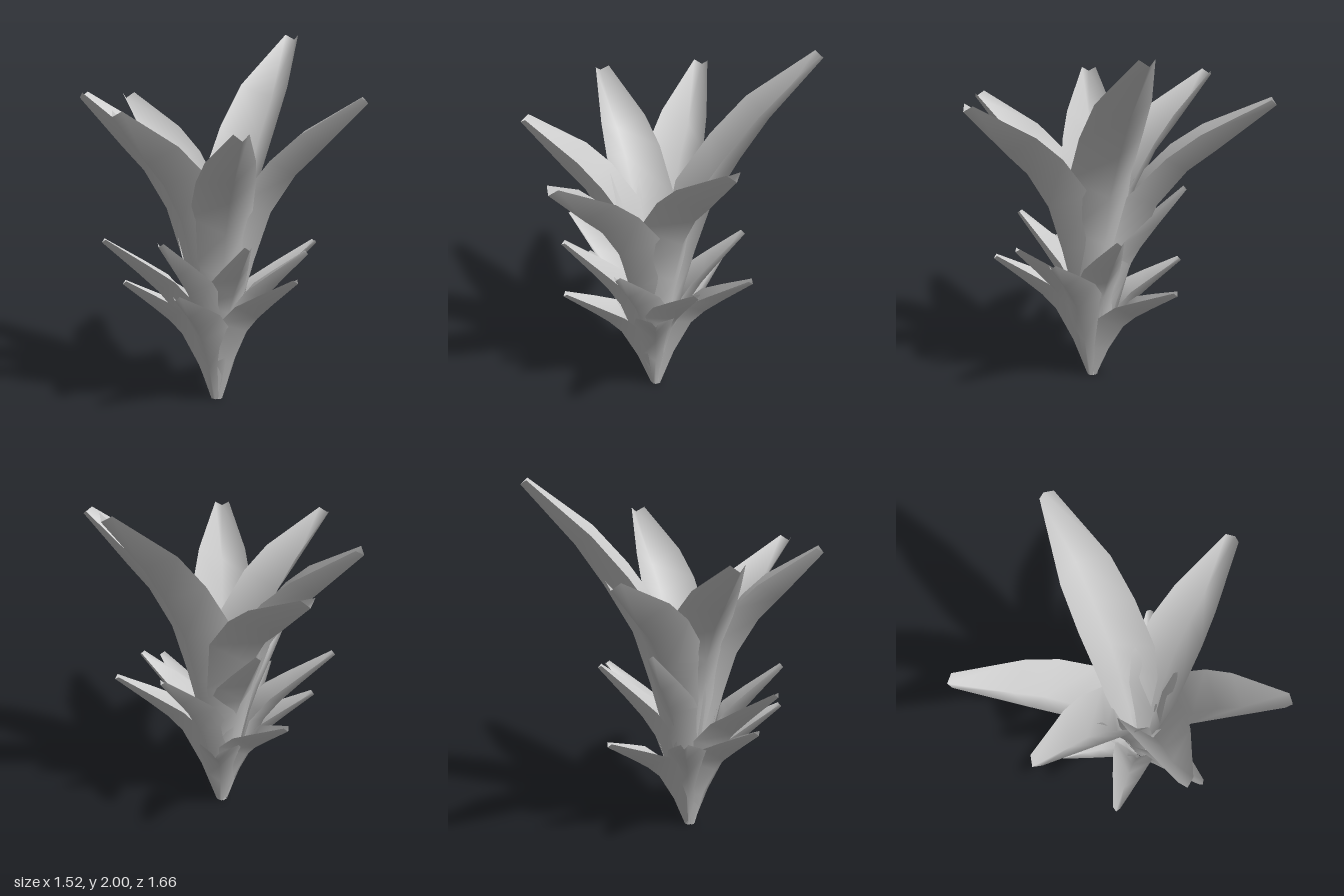
import * as THREE from 'three';

const material = new THREE.MeshStandardMaterial({ color: 0xcccccc, side: THREE.DoubleSide });
const base = new THREE.Vector3(-0.02, 0, 0.04);

// Rows along a leaf: share of reach, share of height, half width, channel depth
const largeRows = [
  [0.03, 0.0, 0.02, 0.01],
  [0.14, 0.28, 0.09, 0.06],
  [0.255, 0.48, 0.15, 0.13],
  [0.365, 0.64, 0.172, 0.175],
  [0.53, 0.765, 0.16, 0.15],
  [0.69, 0.842, 0.132, 0.14],
  [1.0, 1.0, 0.04, 0.045],
];
const tallRows = [
  [0.03, 0.0, 0.02, 0.01],
  [0.14, 0.25, 0.1, 0.07],
  [0.25, 0.44, 0.16, 0.15],
  [0.35, 0.585, 0.178, 0.185],
  [0.52, 0.72, 0.175, 0.155],
  [0.69, 0.835, 0.152, 0.12],
  [1.0, 1.0, 0.042, 0.045],
];
const smallRows = [
  [0.05, 0.0, 0.015, 0.005],
  [0.2, 0.3, 0.075, 0.05],
  [0.38, 0.57, 0.122, 0.11],
  [0.52, 0.69, 0.108, 0.1],
  [0.7, 0.81, 0.076, 0.07],
  [1.0, 1.0, 0.02, 0.025],
];

// A channelled leaf whose midrib runs from the base to the given tip
function makeLeaf(name, [x, y, z], rows) {
  const dx = x - base.x, dz = z - base.z;
  const reach = Math.hypot(dx, dz);
  const out = new THREE.Vector3(dx / reach, 0, dz / reach);
  const side = new THREE.Vector3(-out.z, 0, out.x);
  const up = new THREE.Vector3(0, 1, 0);
  const positions = [], index = [];

  rows.forEach(([r, h, w, d], i) => {
    // The leaf's inner normal, square to the midrib
    const a = rows[Math.max(i - 1, 0)], b = rows[Math.min(i + 1, rows.length - 1)];
    const dr = (b[0] - a[0]) * reach, dh = (b[1] - a[1]) * y;
    const len = Math.hypot(dr, dh);
    for (const s of [-1, 0, 1]) {
      const lift = Math.abs(s) * d;
      const p = base.clone()
        .addScaledVector(out, r * reach - lift * dh / len)
        .addScaledVector(up, h * y + lift * dr / len)
        .addScaledVector(side, s * w);
      positions.push(p.x, p.y, p.z);
    }
    if (i === 0) return;
    for (let j = 0; j < 2; j++) {
      const k = (i - 1) * 3 + j;
      index.push(k, k + 3, k + 1, k + 1, k + 3, k + 4);
    }
  });

  const geometry = new THREE.BufferGeometry();
  geometry.setAttribute('position', new THREE.Float32BufferAttribute(positions, 3));
  geometry.setIndex(index);
  geometry.computeVertexNormals();
  const mesh = new THREE.Mesh(geometry, material);
  mesh.name = name;
  return mesh;
}

// Leaf tips of each ring, with the leaf shape of the ring
const rings = [
  { name: 'crownLeaf', rows: largeRows, tips: [
    [0.03, 1.54, 0.83], [0.76, 1.67, 0.27], [-0.49, 1.62, -0.83],
    [-0.76, 1.67, -0.26], [-0.59, 1.63, 0.48],
  ] },
  { name: 'tallLeaf', rows: tallRows, tips: [[0.51, 1.97, -0.68]] },
  { name: 'middleLeaf', rows: smallRows, tips: [
    [0.46, 0.85, 0.2], [0.11, 0.93, 0.47], [-0.36, 0.95, 0.43],
    [-0.65, 0.92, 0.12], [-0.25, 1.14, -0.43], [0.28, 0.95, -0.37],
  ] },
  { name: 'lowerLeaf', rows: smallRows, tips: [
    [0.37, 0.74, 0.43], [-0.28, 0.68, 0.5], [-0.54, 0.68, 0.09],
    [-0.4, 0.66, -0.31], [-0.02, 0.61, -0.53], [0.56, 0.85, -0.12],
  ] },
];

export function createModel() {
  const plant = new THREE.Group();
  plant.name = 'leafyPlant';
  for (const { name, rows, tips } of rings) {
    const ring = new THREE.Group();
    ring.name = name + 'Ring';
    tips.forEach((tip, i) => ring.add(makeLeaf(name + (i + 1), tip, rows)));
    plant.add(ring);
  }
  return plant;
}
